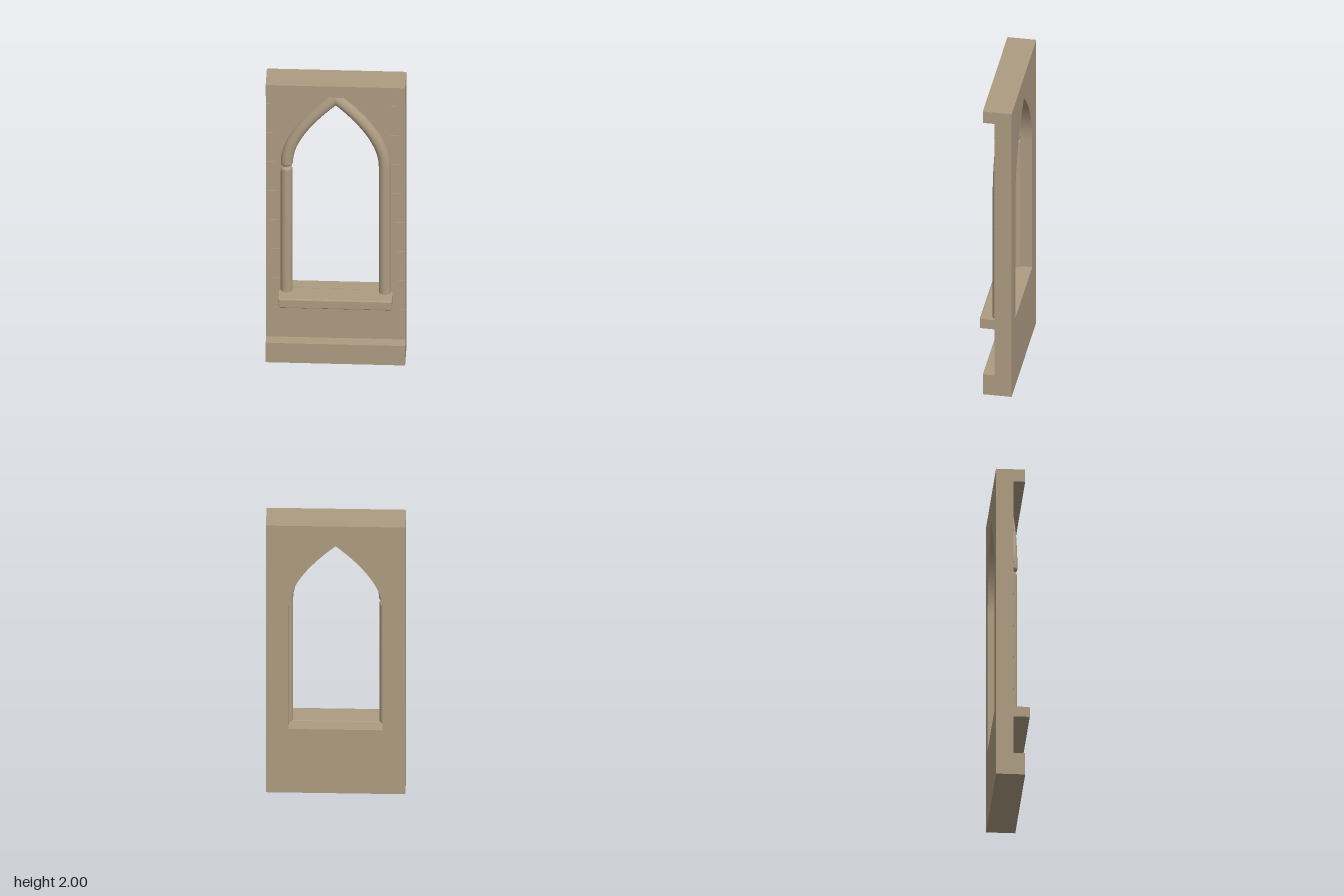
import * as THREE from 'three';

const V = (x, y, z = 0) => new THREE.Vector3(x, y, z);

export function createModel() {
  const group = new THREE.Group();
  const stone = new THREE.MeshStandardMaterial({ color: 0xae9c82 });
  stone.name = 'sandstone';
  const add = (name, geometry, x = 0, y = 0, z = 0) => {
    const mesh = new THREE.Mesh(geometry, stone);
    mesh.name = name;
    mesh.position.set(x, y, z);
    group.add(mesh);
    return mesh;
  };
  const box = (name, w, h, d, x, y, z) => add(name, new THREE.BoxGeometry(w, h, d), x, y, z);

  // Wall slab with a pointed arch opening
  const W = 0.415, back = -0.105, spring = 1.38;
  const wall = new THREE.Shape();
  wall.moveTo(-W, 0).lineTo(W, 0).lineTo(W, 2).lineTo(-W, 2).closePath();
  const hole = new THREE.Path();
  hole.moveTo(-0.28, 0.477);
  hole.lineTo(-0.28, spring);
  hole.quadraticCurveTo(-0.28, 1.6, 0, 1.852);
  hole.quadraticCurveTo(0.28, 1.6, 0.28, spring);
  hole.lineTo(0.28, 0.477);
  hole.closePath();
  wall.holes.push(hole);
  add('wall', new THREE.ExtrudeGeometry(wall, { depth: -back, bevelEnabled: false, curveSegments: 20 }), 0, 0, back);

  // Projecting bands at top and bottom
  box('cornice', 2 * W, 0.08, 0.069, 0, 1.96, 0.0345);
  box('plinth', 2 * W, 0.14, 0.069, 0, 0.07, 0.0345);

  // Fine course joints: full width below the sill, short beside the arch
  for (let i = 0; i < 8; i++) {
    const y = 0.354 + i * 0.209;
    if (i === 0) box('courseJoint', 2 * W, 0.003, 0.002, 0, y, 0.001);
    else for (const s of [-1, 1]) box('courseJoint', 0.09, 0.003, 0.002, s * (W - 0.045), y, 0.001);
  }

  // Window sill with softened edges
  const b = 0.008, sill = new THREE.Shape();
  sill.moveTo(-0.329, 0.423).lineTo(0.329, 0.423).lineTo(0.329, 0.472).lineTo(-0.329, 0.472).closePath();
  add('sill', new THREE.ExtrudeGeometry(sill, {
    depth: 0.115, bevelEnabled: true, bevelSize: b, bevelThickness: b, bevelSegments: 3,
  }), 0, 0, -0.02);

  // Round arch moulding, mitred where the halves meet on x = 0
  const cx = 0.292, r = 0.037, cz = -0.006, apex = 1.869, ctrl = 1.61;
  const halfArch = (name, side, startY) => {
    const path = new THREE.CurvePath();
    const dir = V(-cx, apex - ctrl).normalize();
    const tip = V(0, apex);
    path.add(new THREE.QuadraticBezierCurve3(V(cx, startY), V(cx, ctrl), tip));
    path.add(new THREE.LineCurve3(tip, tip.clone().addScaledVector(dir, 0.08)));
    const geo = new THREE.TubeGeometry(path, 60, r, 20, false);
    const p = geo.attributes.position;
    for (let i = 0; i < p.count; i++) {
      const x = p.getX(i);
      if (x < 0) p.setXY(i, 0, p.getY(i) - x * dir.y / dir.x);
    }
    if (side < 0) {
      // Mirror and restore the winding
      const n = geo.attributes.normal, idx = geo.index.array;
      for (let i = 0; i < p.count; i++) {
        p.setX(i, -p.getX(i));
        n.setX(i, -n.getX(i));
      }
      for (let i = 0; i < idx.length; i += 3) [idx[i], idx[i + 1]] = [idx[i + 1], idx[i]];
    }
    add(name, geo, 0, 0, cz);
  };
  halfArch('leftArchMoulding', 1, spring);
  halfArch('rightArchMoulding', -1, 1.398);

  // Left shaft is whole
  add('leftShaft', new THREE.CylinderGeometry(r, r, spring - 0.47, 20, 1, true), cx, (spring + 0.47) / 2, cz);

  // Right shaft is broken near the top, with worn rounded ends around a thin neck
  const profile = [[0.036, 0.47], [0.035, 1.345], [0.035, 1.358], [0.032, 1.366], [0.022, 1.37],
    [0.02, 1.378], [0.024, 1.384], [0.034, 1.389], [r, 1.4]].map(([x, y]) => new THREE.Vector2(x, y));
  add('brokenRightShaft', new THREE.LatheGeometry(profile, 20), -0.294, 0, cz);

  return group;
}
